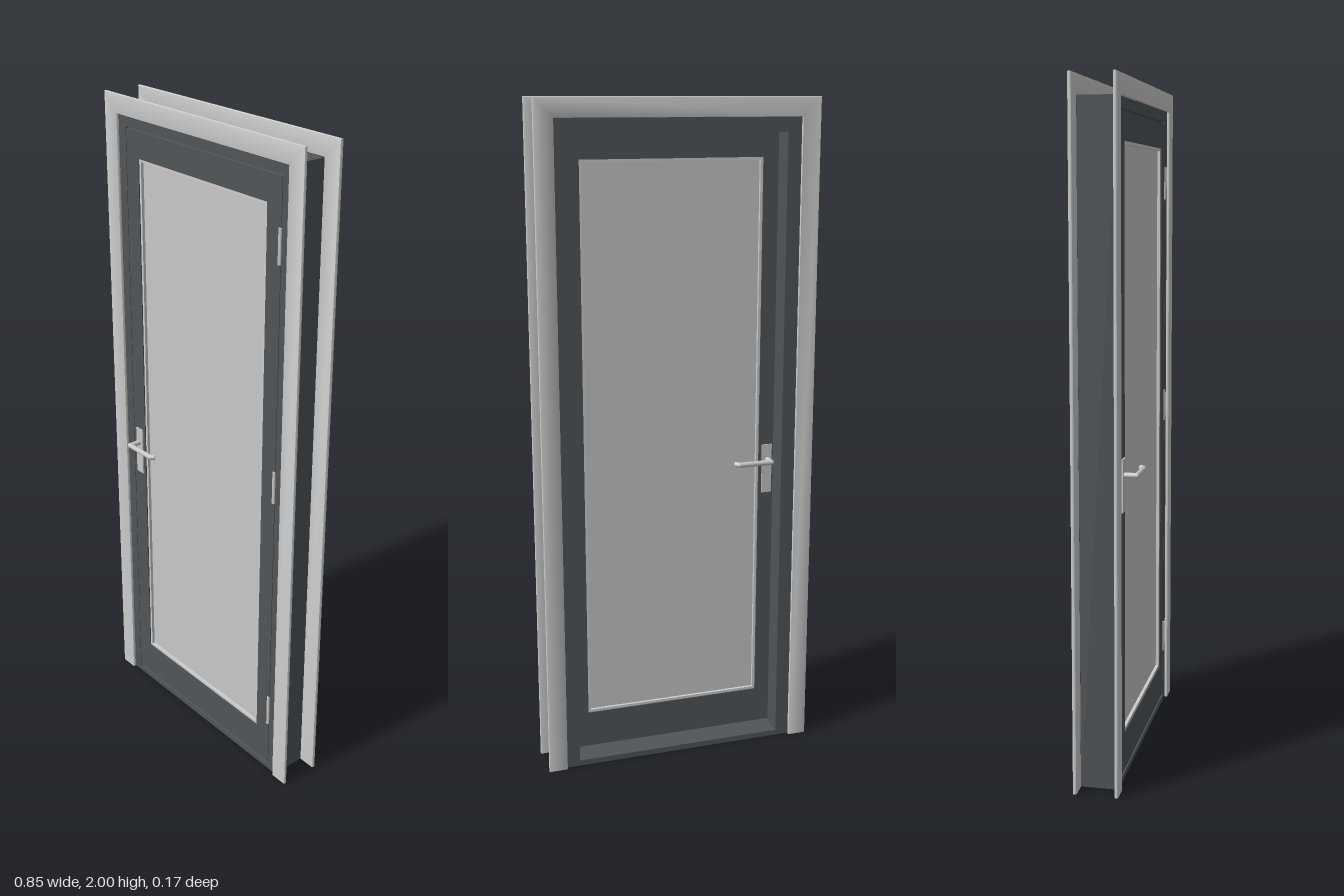
import * as THREE from 'three';
import { toCreasedNormals } from 'three/addons/utils/BufferGeometryUtils.js';

const paint = (name, color) => {
  const m = new THREE.MeshStandardMaterial({ color });
  m.name = name;
  return m;
};

// Sweeps a profile of [inward offset, z] points up, over and down a doorway, with mitred corners.
// Points run clockwise; the first must see all the others.
function sweepDoorway(halfWidth, height, profile) {
  const n = profile.length;
  const pos = [], index = [];
  for (const [side, top] of [[-1, 0], [-1, 1], [1, 1], [1, 0]]) {
    for (const [u, z] of profile) pos.push(side * (halfWidth - u), top ? height - u : 0, z);
  }
  for (let i = 0; i < 3; i++) {
    for (let j = 0; j < n; j++) {
      const k = (j + 1) % n;
      const a = i * n + j, b = i * n + k, c = a + n, d = b + n;
      index.push(a, b, d, a, d, c);
    }
  }
  for (let j = 1; j < n - 1; j++) {
    index.push(0, j + 1, j);
    index.push(3 * n, 3 * n + j, 3 * n + j + 1);
  }
  const g = new THREE.BufferGeometry();
  g.setAttribute('position', new THREE.Float32BufferAttribute(pos, 3));
  g.setIndex(index);
  return toCreasedNormals(g, 0.6);
}

// Flat rectangular ring standing in the xy plane, from z0 to z1
function ring(x, y0, y1, ix, iy0, iy1, z0, z1) {
  const rect = (C, w, a, b) => {
    const s = new C();
    s.moveTo(-w, a);
    s.lineTo(w, a);
    s.lineTo(w, b);
    s.lineTo(-w, b);
    s.closePath();
    return s;
  };
  const shape = rect(THREE.Shape, x, y0, y1);
  shape.holes.push(rect(THREE.Path, ix, iy0, iy1));
  return new THREE.ExtrudeGeometry(shape, { depth: z1 - z0, bevelEnabled: false }).translate(0, 0, z0);
}

export function createModel() {
  const door = new THREE.Group();
  door.name = 'glazedDoor';
  const dark = paint('anthracite', 0x505558);
  const trim = paint('light grey trim', 0xcecece);
  const pane = paint('frosted glass', 0xc8c8c8);
  const metal = paint('satin metal', 0xc6c6c6);

  const add = (name, geometry, material, parent = door) => {
    const mesh = new THREE.Mesh(geometry, material);
    mesh.name = name;
    parent.add(mesh);
    return mesh;
  };
  const box = (x0, x1, y0, y1, z0, z1) =>
    new THREE.BoxGeometry(x1 - x0, y1 - y0, z1 - z0)
      .translate((x0 + x1) / 2, (y0 + y1) / 2, (z0 + z1) / 2);

  const front = 0.034, back = -0.077; // frame faces
  const leafBack = -0.008;

  // Mitred casings with eased edges, front and back
  const casing = (z0, z1) => {
    const w = 0.057, e = 0.003;
    return sweepDoorway(0.423, 2, [
      [0, z1 - e], [e * 0.3, z1 - e * 0.3], [e, z1],
      [w - e, z1], [w - e * 0.3, z1 - e * 0.3], [w, z1 - e],
      [w, z0 + e], [w - e * 0.3, z0 + e * 0.3], [w - e, z0],
      [e, z0], [e * 0.3, z0 + e * 0.3], [0, z0 + e],
    ]);
  };
  add('frontCasing', casing(front, 0.044), trim);
  add('backCasing', casing(back - 0.011, back), trim);

  // Rebated frame: the deeper part behind the leaf is the stop
  add('frame', sweepDoorway(0.368, 1.943, [
    [0.032, leafBack - 0.001], [0.043, leafBack - 0.001], [0.043, back],
    [0, back], [0, front], [0.032, front],
  ]), dark);
  add('sill', box(-0.336, 0.336, 0, 0.017, back, front), dark);

  // Leaf with its glazing
  add('leaf', ring(0.334, 0.026, 1.906, 0.278, 0.138, 1.828, leafBack, front), dark);
  add('glazingBead', ring(0.278, 0.138, 1.828, 0.27, 0.146, 1.82, leafBack + 0.003, front - 0.003), trim);
  add('glass', box(-0.271, 0.271, 0.145, 1.821, 0.004, 0.022), pane);

  // Hinges
  for (const y of [0.228, 1.013, 1.722]) {
    add('hinge', new THREE.CylinderGeometry(0.0055, 0.0055, 0.1, 16).translate(0.331, y, front), metal);
  }

  // Lever handles on both faces
  const rod = (name, a, b, r, parent) => {
    const mesh = add(name, new THREE.CylinderGeometry(r, r, a.distanceTo(b), 20), metal, parent);
    mesh.position.copy(a).lerp(b, 0.5);
    mesh.quaternion.setFromUnitVectors(new THREE.Vector3(0, 1, 0), b.clone().sub(a).normalize());
  };
  for (const [name, face, out] of [['frontHandle', front, 1], ['backHandle', leafBack, -1]]) {
    const handle = new THREE.Group();
    handle.name = name;
    handle.position.set(-0.305, 0.91, face);
    door.add(handle);
    const plate = add('handlePlate', new THREE.BoxGeometry(0.032, 0.154, 0.004), metal, handle);
    plate.position.set(0.001, -0.029, out * 0.002);
    const r = 0.008;
    const path = [[0, 0], [0, 0.04], [0.104, 0.04], [0.115, 0.029]]
      .map(([x, z]) => new THREE.Vector3(x, 0, out * z));
    ['spindle', 'lever', 'leverTip'].forEach((part, i) => {
      rod(part, path[i], path[i + 1], r, handle);
      if (i) add('leverJoint', new THREE.SphereGeometry(r, 20, 12), metal, handle).position.copy(path[i]);
    });
  }
  return door;
}
